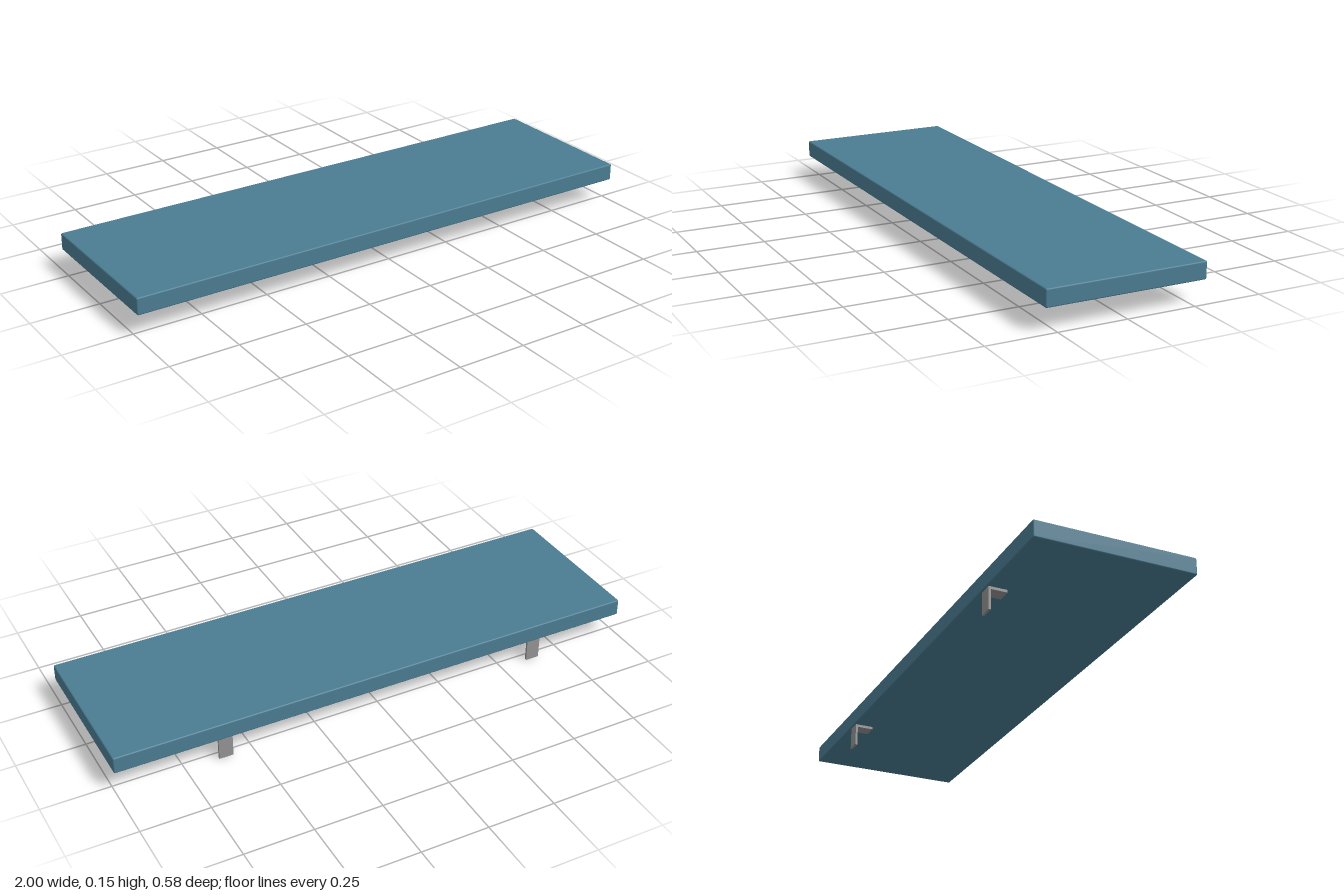
import * as THREE from 'three';
import { RoundedBoxGeometry } from 'three/addons/geometries/RoundedBoxGeometry.js';

export function createModel() {
  const model = new THREE.Group();
  model.name = 'wallShelf';

  const paint = new THREE.MeshStandardMaterial({ color: 0x4a7c91 });
  paint.name = 'teal paint';
  const metal = new THREE.MeshStandardMaterial({ color: 0x929292 });
  metal.name = 'grey metal';

  function add(parent, name, geometry, material, x, y, z) {
    const mesh = new THREE.Mesh(geometry, material);
    mesh.name = name;
    mesh.position.set(x, y, z);
    parent.add(mesh);
    return mesh;
  }

  // Shelf board with softened edges
  add(model, 'board', new RoundedBoxGeometry(2, 0.063, 0.584, 3, 0.005), paint, 0, 0.1155, 0);

  // L-shaped profile, drawn as (depth forward from the wall, height)
  const profile = new THREE.Shape();
  [[0, 0], [0.008, 0], [0.008, 0.074], [0.068, 0.074], [0.068, 0.084], [0, 0.084]]
    .forEach(([d, h], i) => (i ? profile.lineTo(d, h) : profile.moveTo(d, h)));
  profile.closePath();

  const width = 0.052;
  const bracketGeometry = new THREE.ExtrudeGeometry(profile, { depth: width, bevelEnabled: false });
  bracketGeometry.translate(0, 0, -width / 2);
  bracketGeometry.rotateY(-Math.PI / 2);

  const screwGeometry = new THREE.CylinderGeometry(0.008, 0.008, 0.007, 20);
  screwGeometry.rotateX(Math.PI / 2);

  // Two wall brackets, each with a screw head on the upright
  [['rightBracket', -0.632], ['leftBracket', 0.6]].forEach(([name, x]) => {
    const bracket = new THREE.Group();
    bracket.name = name;
    bracket.position.set(x, 0, -0.285);
    add(bracket, 'anglePlate', bracketGeometry, metal, 0, 0, 0);
    add(bracket, 'screwHead', screwGeometry, metal, 0, 0.03, 0.0105);
    model.add(bracket);
  });

  return model;
}
